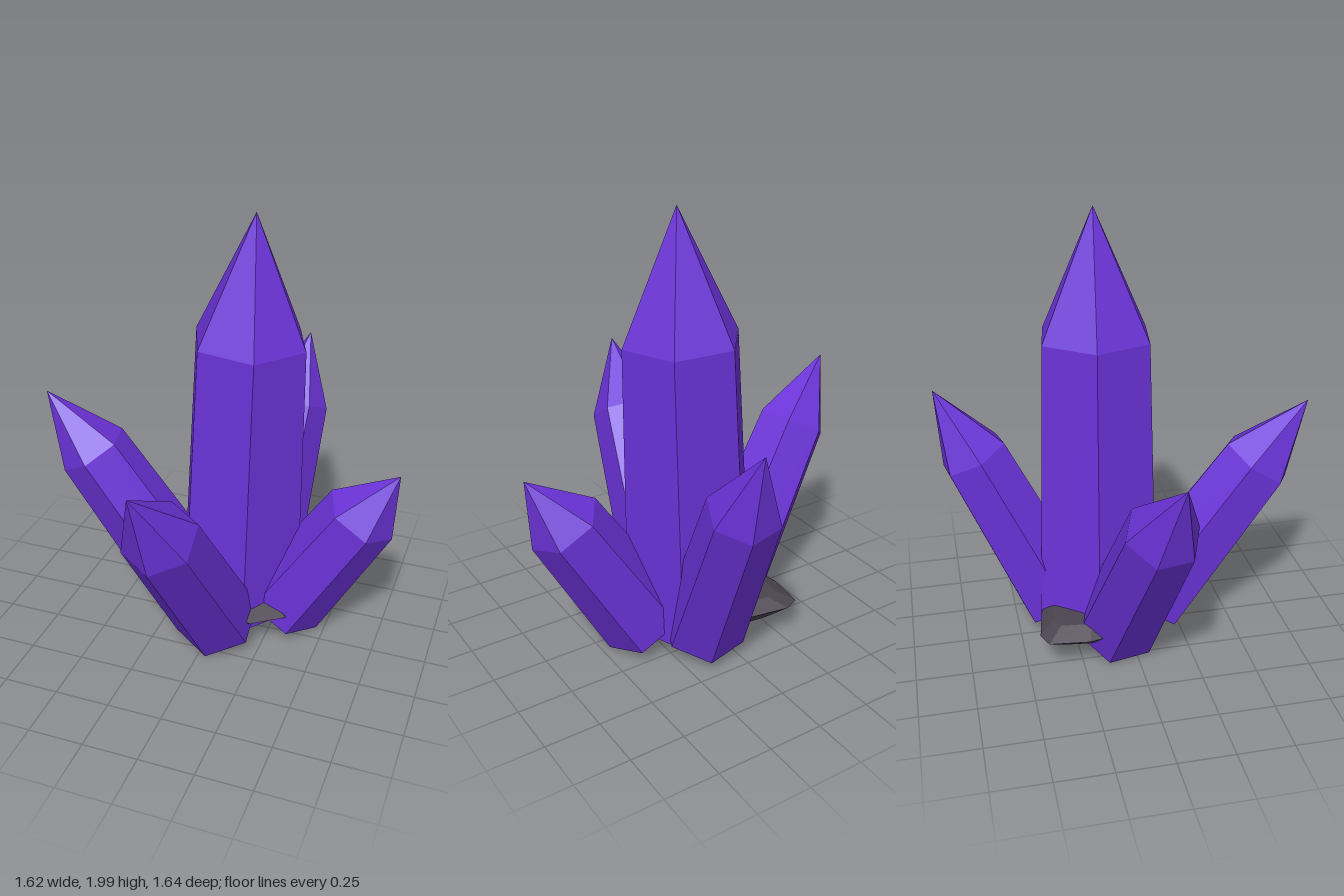
import * as THREE from 'three';

const SIDES = 6;
const V = (p) => new THREE.Vector3(...p);

// Flat-shaded skin over a stack of equal-length rings; a point may repeat to close an end.
function loft(rings) {
  const pos = [];
  const tri = (a, b, c) => {
    const area = b.clone().sub(a).cross(c.clone().sub(a)).length();
    if (area > 1e-8) for (const p of [a, b, c]) pos.push(p.x, p.y, p.z);
  };
  for (let r = 0; r < rings.length - 1; r++) {
    const lo = rings[r], hi = rings[r + 1], n = lo.length;
    for (let i = 0; i < n; i++) {
      const j = (i + 1) % n;
      tri(lo[i], hi[i], lo[j]);
      tri(hi[i], hi[j], lo[j]);
    }
  }
  const geo = new THREE.BufferGeometry();
  geo.setAttribute('position', new THREE.Float32BufferAttribute(pos, 3));
  geo.computeVertexNormals();
  return geo;
}

const repeat = (p, n) => Array.from({ length: n }, () => p);

// Hexagonal shaft, narrowing from base to shoulder, with a pointed end.
function crystalGeometry({ base, baseR, shoulder, shoulderR, tip, phase, ref = [0, 1, 0] }) {
  const b = V(base), s = V(shoulder);
  const axis = s.clone().sub(b).normalize();
  const u = V(ref).addScaledVector(axis, -V(ref).dot(axis)).normalize();
  const w = u.clone().cross(axis);
  const ring = (c, r) => Array.from({ length: SIDES }, (_, i) => {
    const a = THREE.MathUtils.degToRad(phase) + (i / SIDES) * Math.PI * 2;
    return c.clone().addScaledVector(u, r * Math.cos(a)).addScaledVector(w, r * Math.sin(a));
  });
  return loft([repeat(b, SIDES), ring(b, baseR), ring(s, shoulderR), repeat(V(tip), SIDES)]);
}

// Flat irregular stone: one outline scaled about its centre at several heights.
function rockGeometry() {
  const outline = [[0.36, 0.1], [0.22, 0.2], [-0.1, 0.1], [-0.3, 0], [-0.35, -0.23],
    [-0.33, -0.41], [-0.26, -0.44], [-0.08, -0.41], [0.2, -0.3]];
  const cx = 0, cz = -0.12;
  const ring = (k, y) => outline.map(([x, z]) =>
    new THREE.Vector3(cx + (x - cx) * k, y, cz + (z - cz) * k));
  return loft([ring(0, 0.08), ring(0.72, 0.09), ring(1, 0.17), ring(0.78, 0.21), ring(0, 0.22)]);
}

export function createModel() {
  const purple = new THREE.MeshStandardMaterial({ color: 0x6a32d6 });
  purple.name = 'purpleCrystal';
  const stone = new THREE.MeshStandardMaterial({ color: 0x4a4450 });
  stone.name = 'darkStone';

  const crystals = {
    mainCrystal: { base: [0.06, 0.1, -0.12], baseR: 0.31, shoulder: [0.1, 1.44, -0.11],
      shoulderR: 0.265, tip: [0.12, 2, -0.11], phase: 8.6, ref: [1, 0, 0] },
    rightCrystal: { base: [-0.16, 0.11, -0.07], baseR: 0.195, shoulder: [-0.615, 0.84, 0.025],
      shoulderR: 0.165, tip: [-0.81, 1.13, 0.07], phase: 30 },
    leftCrystal: { base: [0.295, 0.12, -0.09], baseR: 0.2, shoulder: [0.65, 0.705, -0.05],
      shoulderR: 0.17, tip: [0.81, 0.94, -0.03], phase: 0 },
    frontCrystal: { base: [0.035, 0.12, 0.135], baseR: 0.2, shoulder: [-0.04, 0.835, 0.61],
      shoulderR: 0.17, tip: [-0.08, 1.13, 0.82], phase: -8 },
    backCrystal: { base: [0.105, 0.13, -0.3], baseR: 0.19, shoulder: [0.16, 0.895, -0.66],
      shoulderR: 0.16, tip: [0.185, 1.21, -0.82], phase: 12 },
  };

  const group = new THREE.Group();
  group.name = 'crystalCluster';
  const add = (name, geo, mat) => {
    const mesh = new THREE.Mesh(geo, mat);
    mesh.name = name;
    group.add(mesh);
  };
  for (const [name, spec] of Object.entries(crystals)) add(name, crystalGeometry(spec), purple);
  add('baseRock', rockGeometry(), stone);
  return group;
}
